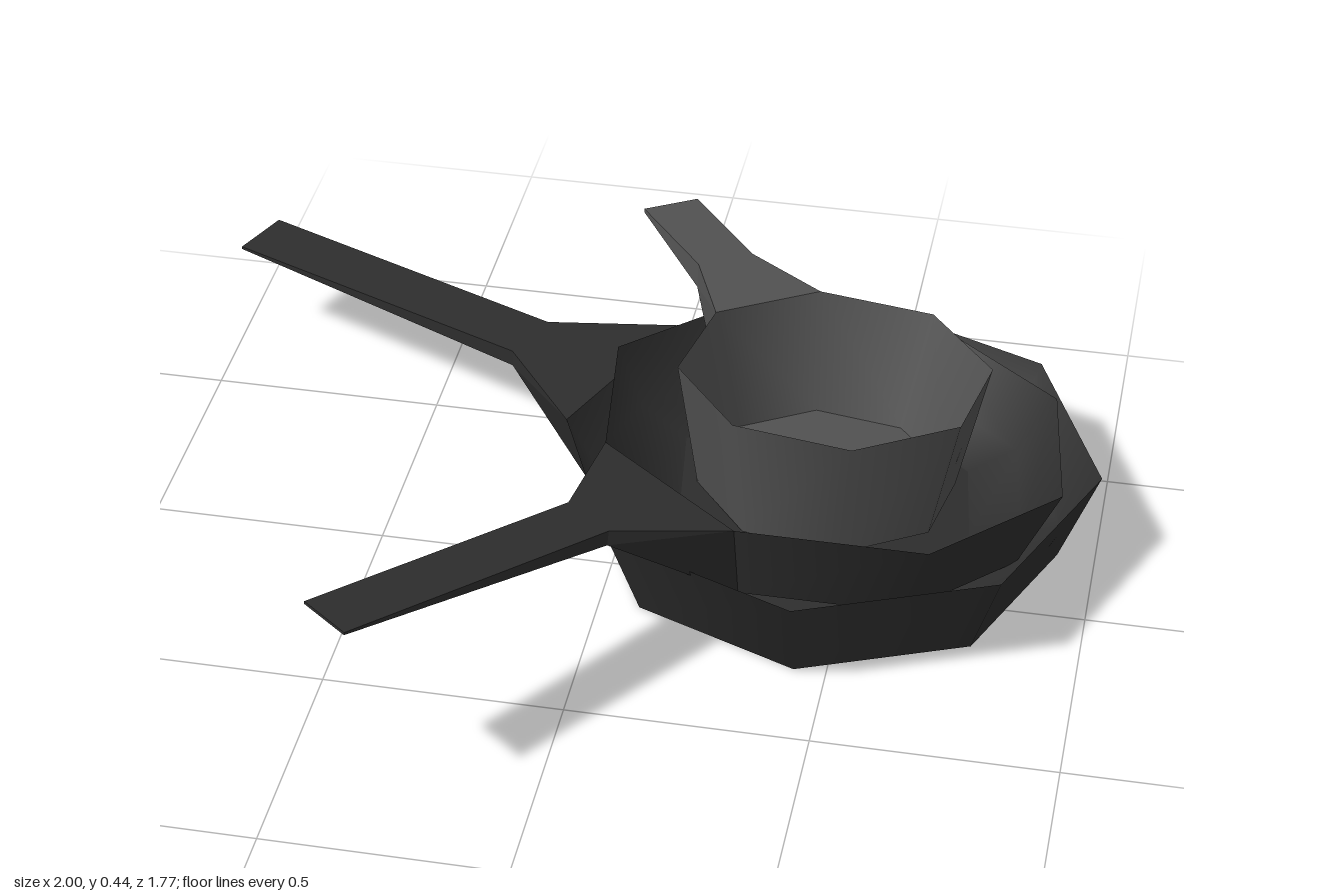
import * as THREE from 'three';

const darkIron = new THREE.MeshStandardMaterial({ color: 0x2e2e2e, side: THREE.DoubleSide });
darkIron.name = 'dark iron';
const greySteel = new THREE.MeshStandardMaterial({ color: 0x525252, side: THREE.DoubleSide });
greySteel.name = 'grey steel';

function part(name, geometry, material) {
  const mesh = new THREE.Mesh(geometry, material);
  mesh.name = name;
  return mesh;
}

// Flat-faced handle lofted through four-cornered sections, running along +z
function handleGeometry(sections) {
  const rings = sections.map(s => [
    [-s.top[0], s.top[1], s.top[2]], [s.top[0], s.top[1], s.top[2]],
    [s.low[0], s.low[1], s.low[2]], [-s.low[0], s.low[1], s.low[2]],
  ]);
  const pos = [];
  const quad = (a, b, c, d) => pos.push(...a, ...b, ...c, ...a, ...c, ...d);
  for (let i = 0; i < rings.length - 1; i++) {
    for (let k = 0; k < 4; k++) {
      const n = (k + 1) % 4;
      quad(rings[i][k], rings[i + 1][k], rings[i + 1][n], rings[i][n]);
    }
  }
  const end = rings[rings.length - 1];
  quad(end[3], end[2], end[1], end[0]);
  const g = new THREE.BufferGeometry();
  g.setAttribute('position', new THREE.Float32BufferAttribute(pos, 3));
  g.computeVertexNormals();
  return g;
}

// Eight-sided pan with its rim centre at the origin and its handle along +z
function makePan(name, p, material) {
  const pan = new THREE.Group();
  pan.name = name;

  // Outer and inner shells meet at a sharp rim; each profile is [radius, depth]
  const shell = (side, profile) => {
    const points = [[p.rim, 0], ...profile].map(([r, d]) => new THREE.Vector2(r, -d));
    const wall = new THREE.LatheGeometry(points, 8, Math.PI / 8);
    const last = points[points.length - 1];
    const floor = new THREE.CircleGeometry(last.x, 8, Math.PI / 8);
    floor.rotateX(-Math.PI / 2).translate(0, last.y, 0);
    pan.add(part(side + 'Wall', wall, material), part(side + 'Floor', floor, material));
  };
  shell('outer', [[p.base, p.height]]);
  shell('inner', p.well);

  const s = Math.sin(Math.PI / 8), c = Math.cos(Math.PI / 8);
  pan.add(part('handle', handleGeometry([
    { top: [p.rim * s, 0, p.rim * c], low: [p.base * s, -p.height, p.base * c] },
    { top: [p.half, p.rise * 0.2, p.neck], low: [p.half, -p.drop, p.neck] },
    { top: [p.half, p.rise, p.tip], low: [p.half, p.rise - p.thin, p.tip] },
  ]), material));

  // Turn the handle to its heading, then lean the pan by its rim slope
  const heading = new THREE.Quaternion().setFromAxisAngle(
    new THREE.Vector3(0, 1, 0), Math.atan2(p.dir[0], p.dir[1]));
  const lean = new THREE.Quaternion().setFromUnitVectors(
    new THREE.Vector3(0, 1, 0), new THREE.Vector3(-p.slope[0], 1, -p.slope[1]).normalize());
  pan.quaternion.copy(lean).multiply(heading);
  pan.position.set(...p.at);
  return pan;
}

export function createModel() {
  const model = new THREE.Group();
  model.name = 'stackedPans';

  model.add(makePan('largePan', {
    rim: 0.57, base: 0.49, height: 0.21, well: [[0.49, 0.135], [0.365, 0.185]],
    neck: 0.77, tip: 1.516, half: 0.069, rise: 0.012, drop: 0.035, thin: 0.006,
    dir: [-0.926, -0.377], slope: [0, 0], at: [0.43, 0.21, -0.21],
  }, darkIron));

  model.add(makePan('mediumPan', {
    rim: 0.513, base: 0.441, height: 0.19, well: [[0.44, 0.12], [0.33, 0.165]],
    neck: 0.69, tip: 1.355, half: 0.062, rise: 0.011, drop: 0.032, thin: 0.006,
    dir: [-0.613, 0.79], slope: [-0.0845, 0.0762], at: [0.435, 0.274, -0.225],
  }, darkIron));

  model.add(makePan('smallPot', {
    rim: 0.33, base: 0.275, height: 0.28, well: [[0.25, 0.25]],
    neck: 0.51, tip: 0.782, half: 0.066, rise: 0.003, drop: 0.055, thin: 0.008,
    dir: [-0.595, -0.804], slope: [-0.024, 0.077], at: [0.43, 0.405, -0.225],
  }, greySteel));

  return model;
}
